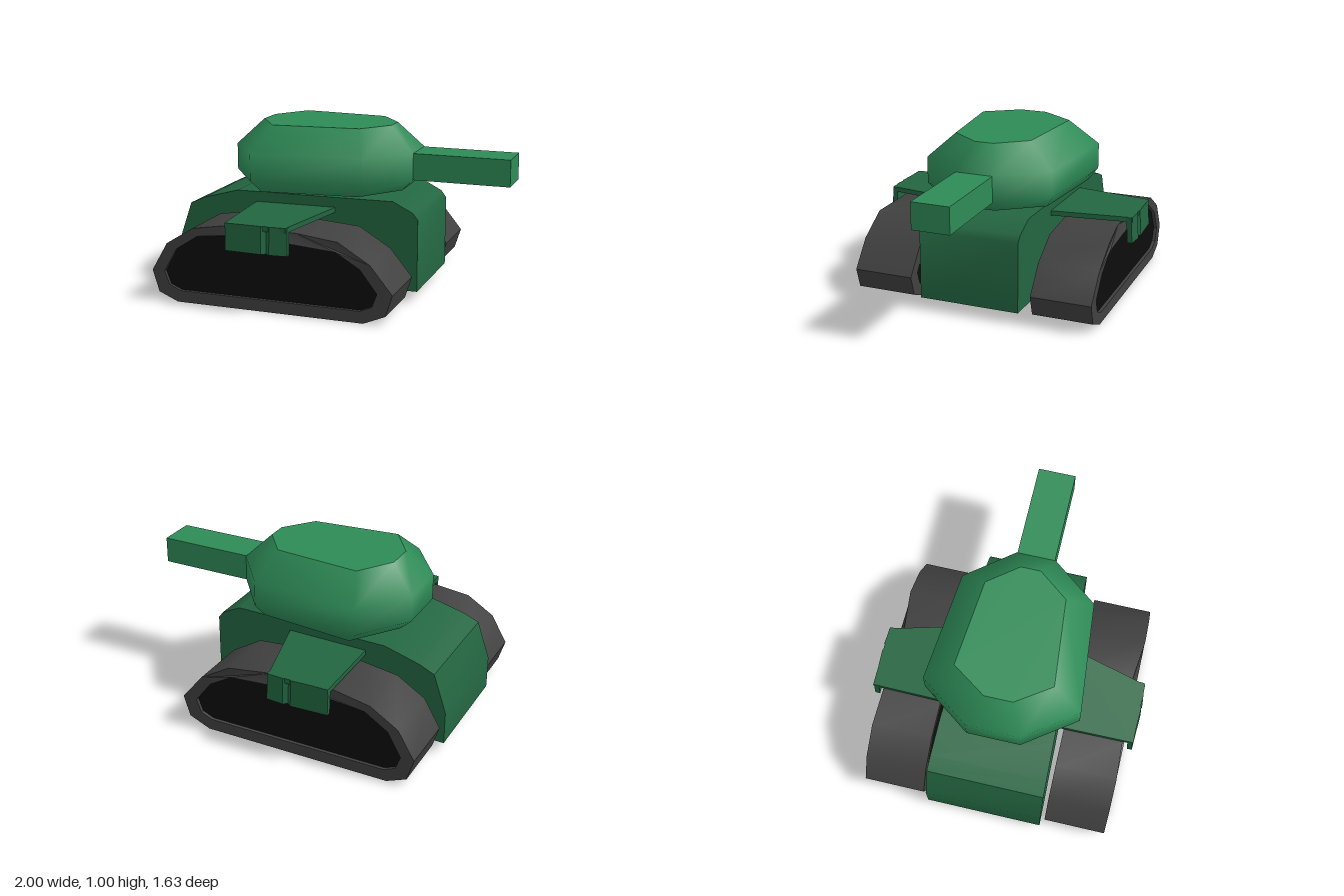
import * as THREE from 'three';
import { toCreasedNormals } from 'three/addons/utils/BufferGeometryUtils.js';

const paint = (color) => new THREE.MeshStandardMaterial({ color });
const turretGreen = paint(0x2e8b57);
const hullGreen = paint(0x236641);
const rubber = paint(0x404040);
const black = paint(0x0d0d0d);
black.side = THREE.DoubleSide;

const points = (list) => list.map(([x, y]) => new THREE.Vector2(x, y));

function part(name, geometry, material) {
  const mesh = new THREE.Mesh(geometry, material);
  mesh.name = name;
  return mesh;
}

// Extrudes a shape along z, starting at z0
function extrude(shape, depth, z0) {
  return new THREE.ExtrudeGeometry(shape, { depth, bevelEnabled: false }).translate(0, 0, z0);
}

// Moves every vertex by a rule
function reshape(geometry, rule) {
  const pos = geometry.attributes.position;
  const v = new THREE.Vector3();
  for (let i = 0; i < pos.count; i++) {
    rule(v.fromBufferAttribute(pos, i));
    pos.setXYZ(i, v.x, v.y, v.z);
  }
  geometry.computeVertexNormals();
  return geometry;
}

// Hull: side profile, narrowing slightly towards the gun end
function hull() {
  const profile = points([[-1, 0.07], [0.51, 0.07], [0.51, 0.5], [0.48, 0.54], [0.36, 0.6],
    [-0.61, 0.6], [-0.83, 0.54], [-0.92, 0.5], [-1, 0.27]]);
  const geometry = reshape(extrude(new THREE.Shape(profile), 2, -1), (v) => {
    v.z *= 0.355 - 0.045 * (v.x + 1) / 1.51;
  });
  return part('hull', toCreasedNormals(geometry, 0.7), hullGreen);
}

// Turret: smooth eight-sided rings between flat caps
function turret() {
  const half = [[0.42, 0.12], [0.2, 0.4], [-0.47, 0.465], [-0.69, 0.16]];
  const topHalf = [[0.27, 0.06], [0.13, 0.24], [-0.4, 0.29], [-0.54, 0.085]];
  const lowHalf = [[0.35, 0.1], [0.16, 0.355], [-0.42, 0.415], [-0.62, 0.14]];
  const ring = (h) => [...h, ...[...h].reverse().map(([x, z]) => [x, -z])];
  const rings = [[lowHalf, 0.62], [half, 0.69], [half, 0.85], [topHalf, 1]];
  const positions = [];
  const index = [];
  rings.forEach(([h, y], r) => ring(h).forEach(([x, z], i) => {
    positions.push(x, y, z);
    if (r === 3) return;
    const a = r * 8 + i;
    const b = r * 8 + (i + 1) % 8;
    index.push(a, a + 8, b, b, a + 8, b + 8);
  }));
  const sides = new THREE.BufferGeometry();
  sides.setAttribute('position', new THREE.Float32BufferAttribute(positions, 3));
  sides.setIndex(index);
  sides.computeVertexNormals();

  // Flat caps, the upper one facing up and the lower one facing down
  const cap = (h, y, up) => new THREE.ShapeGeometry(
    new THREE.Shape(points(ring(h).map(([x, z]) => [x, -z * up]))))
    .rotateX(-up * Math.PI / 2).translate(0, y, 0);

  // The sides must face outwards
  const n = sides.attributes.normal;
  if (n.getX(8) < 0) {
    sides.setIndex(index.map((_, i) => index[i - (i % 3) + 2 - (i % 3)]));
    sides.computeVertexNormals();
  }

  const group = new THREE.Group();
  group.name = 'turret';
  group.add(part('turretSides', sides, turretGreen));
  group.add(part('turretRoof', cap(topHalf, 1, 1), turretGreen));
  group.add(part('turretFloor', cap(lowHalf, 0.62, -1), turretGreen));
  const barrel = new THREE.BoxGeometry(0.62, 0.16, 0.23).translate(0.69, 0.77, 0);
  group.add(part('gunBarrel', barrel, turretGreen));
  return group;
}

// Track: a tread band around a recessed black panel on both faces
function track(s) {
  const outer = points([[-0.82, 0], [0.33, 0], [0.46, 0.055], [0.5, 0.18], [0.37, 0.34],
    [0.18, 0.455], [-0.08, 0.475], [-0.48, 0.49], [-0.71, 0.455], [-0.88, 0.35],
    [-0.98, 0.18], [-0.94, 0.05]]);
  const inner = points([[-0.8, 0.07], [0.31, 0.07], [0.38, 0.1], [0.41, 0.18], [0.31, 0.31],
    [0.17, 0.395], [-0.08, 0.415], [-0.48, 0.43], [-0.68, 0.41], [-0.82, 0.32],
    [-0.9, 0.18], [-0.87, 0.1]]);
  const band = new THREE.Shape(outer);
  band.holes.push(new THREE.Path(inner));
  const geometry = reshape(extrude(band, 0.37, s > 0 ? 0.38 : -0.75), (v) => {
    // The upper outer edge draws in at the middle
    if (Math.abs(v.z) > 0.6 && v.y > 0.46) v.z = s * (v.x > -0.3 ? 0.72 : 0.738);
  });
  const group = new THREE.Group();
  group.name = s > 0 ? 'leftTrack' : 'rightTrack';
  group.add(part('tread', toCreasedNormals(geometry, 0.75), rubber));
  for (const z of [0.4, 0.73]) {
    const panel = new THREE.ShapeGeometry(new THREE.Shape(inner)).translate(0, 0, s * z);
    group.add(part('trackPanel', panel, black));
  }
  return group;
}

// Fender: a sloping plate over the track with a notched flap hanging from it
function fender(s) {
  const plate = reshape(new THREE.BoxGeometry(1, 1, 1).toNonIndexed(), (v) => {
    const t = 0.5 + s * v.z;
    const right = THREE.MathUtils.lerp(0.01, -0.11, t);
    const left = THREE.MathUtils.lerp(-0.49, -0.48, t);
    v.x = v.x > 0 ? right : left;
    v.y = THREE.MathUtils.lerp(0.54, 0.52, t) - (v.y > 0 ? 0 : 0.03);
    v.z = s * THREE.MathUtils.lerp(0.32, 0.8, t);
  });
  const outline = points([[-0.48, 0.765], [-0.1, 0.765], [-0.1, 0.795], [-0.205, 0.805],
    [-0.23, 0.785], [-0.255, 0.805], [-0.48, 0.795]].map(([x, z]) => [x, s * z]));
  const flap = extrude(new THREE.Shape(outline), 0.16, 0).rotateX(Math.PI / 2).translate(0, 0.52, 0);
  // The flap leans outwards towards its lower edge
  reshape(flap, (v) => { if (v.y < 0.4) v.z += s * 0.01; });
  const group = new THREE.Group();
  group.name = s > 0 ? 'leftFender' : 'rightFender';
  group.add(part('fenderPlate', plate, hullGreen), part('fenderFlap', flap, hullGreen));
  return group;
}

export function createModel() {
  const model = new THREE.Group();
  model.name = 'tank';
  model.add(hull(), turret());
  for (const s of [1, -1]) model.add(track(s), fender(s));
  return model;
}
